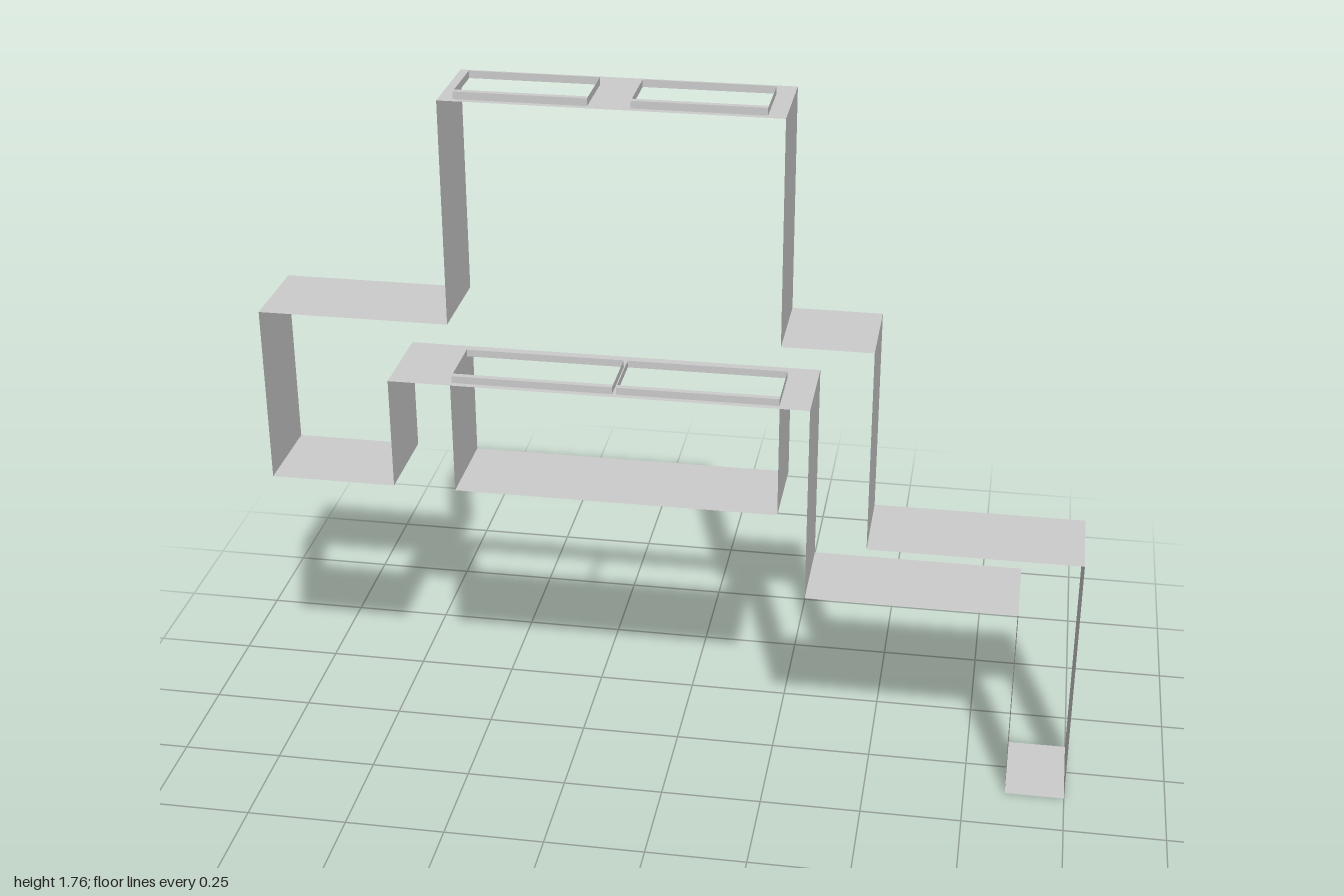
import * as THREE from 'three';

const material = new THREE.MeshStandardMaterial({ color: 0xcccccc, side: THREE.DoubleSide, flatShading: true });
const HALF = 0.115; // half the depth of the band
const WIN_BACK = -0.055, WIN_FRONT = 0.1, LIP = 0.015, RIM = 0.018;

function add(parent, name, geometry) {
  const mesh = new THREE.Mesh(geometry, material);
  mesh.name = name;
  parent.add(mesh);
  return mesh;
}

// Thin strip between two profile points, spanning the depth of the band.
function strip(parent, name, [x0, y0], [x1, y1]) {
  const dx = x1 - x0, dy = y1 - y0;
  const geometry = new THREE.PlaneGeometry(Math.hypot(dx, dy), HALF * 2);
  geometry.rotateX(-Math.PI / 2);
  geometry.rotateZ(Math.atan2(dy, dx));
  geometry.translate((x0 + x1) / 2, (y0 + y1) / 2, 0);
  return add(parent, name, geometry);
}

function rectangle(Type, x0, x1, z0, z1) {
  return new Type([[x0, z0], [x1, z0], [x1, z1], [x0, z1]].map(([x, z]) => new THREE.Vector2(x, -z)));
}

// Horizontal panel with rectangular windows, each with a raised rim and a front lip.
function windowPanel(parent, name, x0, x1, y, windows) {
  const group = new THREE.Group();
  group.name = name;
  parent.add(group);
  const shape = rectangle(THREE.Shape, x0, x1, -HALF, HALF);
  for (const [a, b] of windows) shape.holes.push(rectangle(THREE.Path, a, b, WIN_BACK, WIN_FRONT));
  add(group, 'panel', new THREE.ShapeGeometry(shape).rotateX(-Math.PI / 2).translate(0, y, 0));

  for (const [a, b] of windows) {
    const cx = (a + b) / 2, cz = (WIN_BACK + WIN_FRONT) / 2;
    for (const z of [WIN_BACK, WIN_FRONT]) {
      add(group, 'windowRim', new THREE.PlaneGeometry(b - a, RIM).translate(cx, y + RIM / 2, z));
    }
    for (const x of [a, b]) {
      add(group, 'windowRim', new THREE.PlaneGeometry(WIN_FRONT - WIN_BACK, RIM)
        .rotateY(Math.PI / 2).translate(x, y + RIM / 2, cz));
    }
    add(group, 'windowLip', new THREE.PlaneGeometry(b - a, LIP)
      .rotateX(-Math.PI / 2).translate(cx, y + RIM, WIN_FRONT - LIP / 2));
  }
}

export function createModel() {
  const model = new THREE.Group();
  model.name = 'foldedBand';

  // Outer side of the loop, from the roof down to both ends
  const path = (name, points) => {
    for (let i = 1; i < points.length; i++) strip(model, name, points[i - 1], points[i]);
  };
  path('rightOuterBand', [[-0.535, 1.745], [-0.535, 1.19], [-1, 1.19], [-1, 0.745], [-0.69, 0.745], [-0.69, 1.03]]);
  path('leftOuterBand', [[0.262, 1.745], [0.262, 1.19], [0.48, 1.19], [0.48, 0.67], [1, 0.67], [1, 0]]);

  // Foot and inner side of the leg, back up to the middle deck
  path('legInnerBand', [[1, 0], [0.853, 0], [0.853, 0.52], [0.334, 0.52], [0.334, 1.03]]);

  // Tray hanging below the deck
  path('tray', [[-0.535, 1.03], [-0.535, 0.745], [0.262, 0.745], [0.262, 1.03]]);

  // Roof and deck with their pairs of windows
  windowPanel(model, 'roof', -0.535, 0.262, 1.745, [[-0.5, -0.19], [-0.09, 0.22]]);
  windowPanel(model, 'deck', -0.69, 0.334, 1.03, [[-0.535, -0.142], [-0.132, 0.26]]);

  return model;
}
